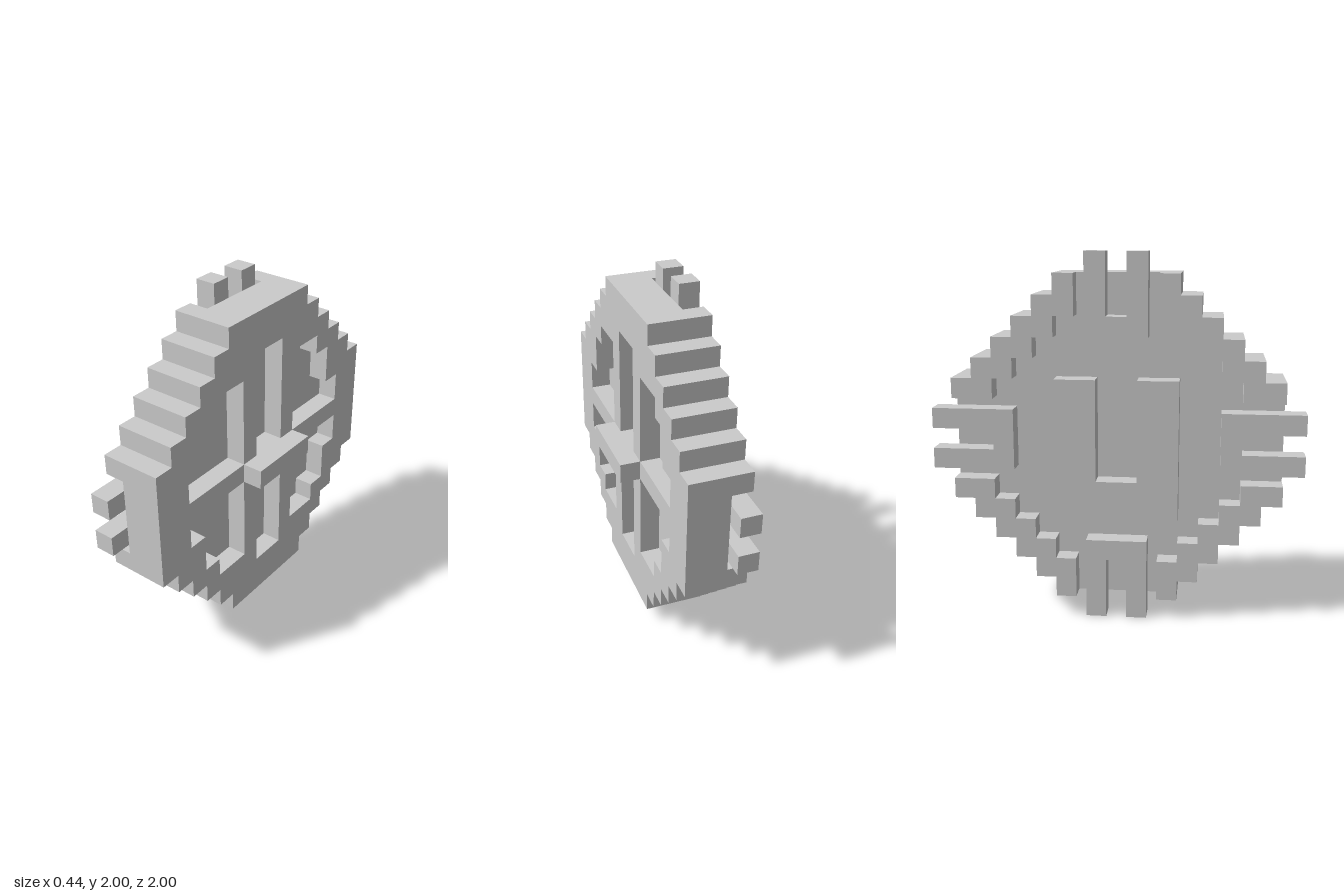
import * as THREE from 'three';

const U = 1 / 9; // one voxel

export function createModel() {
  const model = new THREE.Group();
  const material = new THREE.MeshStandardMaterial({ color: 0xcccccc, flatShading: true });
  const corners = [[1, 1], [-1, 1], [-1, -1], [1, -1]];

  const mirror = (pts, [sx, sy]) => pts.map(([a, b]) => new THREE.Vector2(a * sx * U, b * sy * U));

  // Extrudes an outline drawn in the side plane from x0 to x1 (in voxels)
  function slab(name, outline, x0, x1, holes = []) {
    const shape = new THREE.Shape(outline);
    shape.holes = holes.map((h) => new THREE.Path(h));
    const geo = new THREE.ExtrudeGeometry(shape, { depth: (x1 - x0) * U, bevelEnabled: false });
    geo.rotateY(Math.PI / 2);
    geo.translate(x0 * U, 1, 0);
    const mesh = new THREE.Mesh(geo, material);
    mesh.name = name;
    model.add(mesh);
    return mesh;
  }

  // Stepped disc outline: one quarter staircase, mirrored around
  const stairs = [[8, 3], [7, 3], [7, 4], [6, 4], [6, 5], [5, 5], [5, 6], [4, 6], [4, 7], [3, 7], [3, 8]];
  const disc = corners.flatMap((c, i) => {
    const pts = mirror(stairs, c);
    return i % 2 ? pts.reverse() : pts;
  });

  // Front face with sunken pockets
  const sidePocket = [[2, 0.5], [6, 0.5], [6, 2], [5, 2], [5, 4], [4, 4], [4, 5], [2, 5]];
  const centrePocket = [[-1, 0.5], [1, 0.5], [1, 6], [-1, 6]];
  const pockets = [
    ...corners.map((c) => mirror(sidePocket, c)),
    ...[1, -1].map((s) => mirror(centrePocket, [1, s])),
  ];
  slab('frontFace', disc, 0, 1, pockets);
  slab('corePlate', disc, -1, 0);

  // Raised rim on the back, in four stepped quarters
  const rim = [[8, 2], ...stairs, [2, 8], [2, 6], [3, 6], [3, 5], [4, 5], [4, 4], [5, 4], [5, 3], [6, 3], [6, 2]];
  corners.forEach((c, i) => slab(`rimQuarter${i + 1}`, mirror(rim, c), -2, -1));

  // Forked prongs passing through the rim gaps
  const fork = [[-1.5, 5], [1.5, 5], [1.5, 9], [0.5, 9], [0.5, 6], [-0.5, 6], [-0.5, 9], [-1.5, 9]];
  for (let i = 0; i < 4; i++) {
    const turned = fork.map(([a, b]) => [[a, b], [b, -a], [-a, -b], [-b, a]][i]);
    slab(`fork${i + 1}`, mirror(turned, [1, 1]), -2, -1);
  }

  // U-shaped block in the middle of the back
  const block = [[-3, -4], [3, -4], [3, 3], [1, 3], [1, -2], [-1, -2], [-1, 3], [-3, 3]];
  slab('backBlock', mirror(block, [1, 1]), -2, -1);

  // Handle bar on the front
  const bar = new THREE.Mesh(new THREE.BoxGeometry(U, U, 4 * U), material);
  bar.name = 'handleBar';
  bar.position.set(1.5 * U, 1, 0);
  model.add(bar);

  return model;
}
